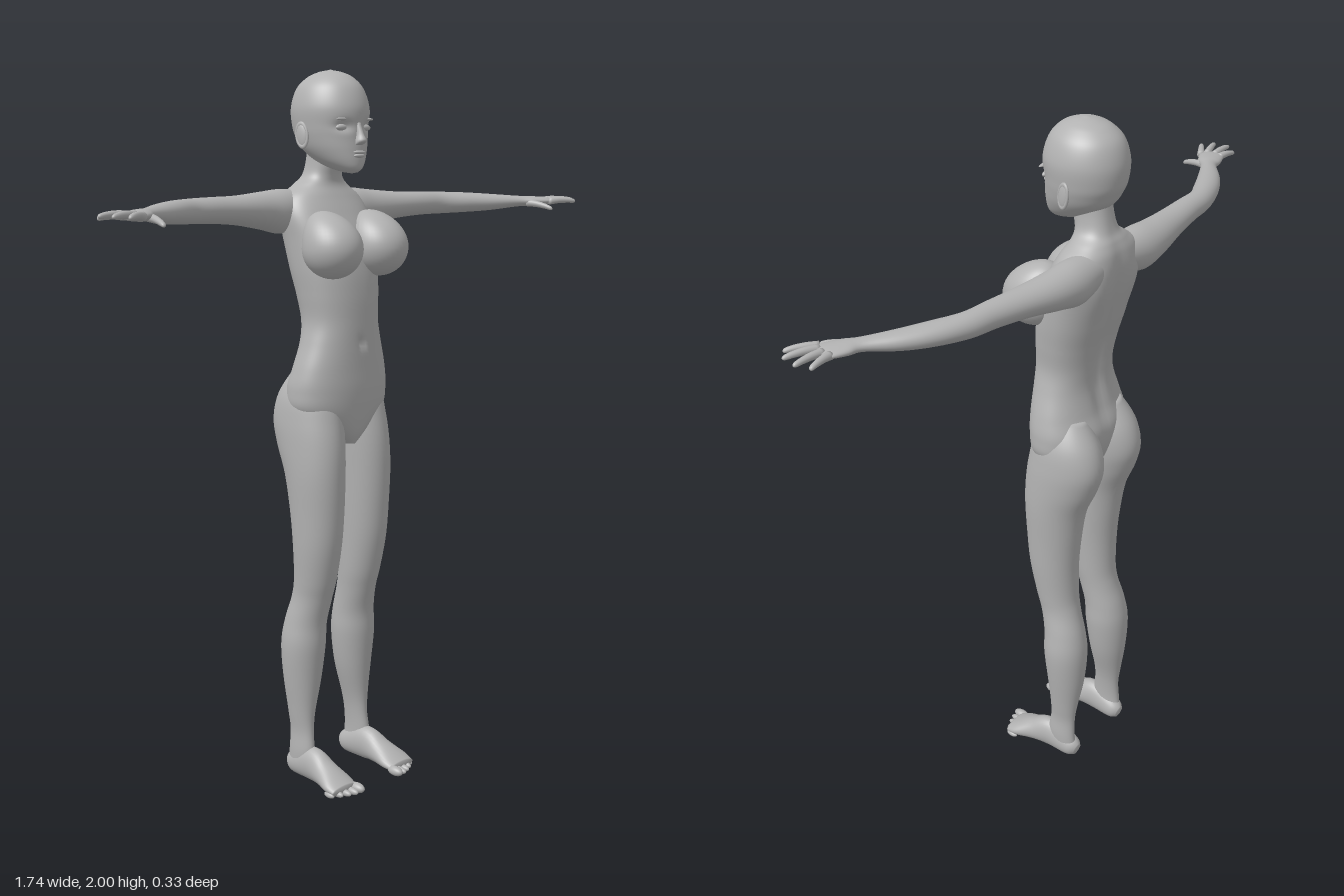
import * as THREE from 'three';

const X = new THREE.Vector3(1, 0, 0), Y = new THREE.Vector3(0, 1, 0), Z = new THREE.Vector3(0, 0, 1);
const bump = (d, w) => Math.exp(-(d * d) / (w * w));

// Catmull-Rom interpolation of one column of a section table
function spline(rows, i, t, k) {
  const at = j => rows[Math.min(Math.max(j, 0), rows.length - 1)][k];
  const a = at(i - 1), b = at(i), c = at(i + 1), d = at(i + 2);
  return b + 0.5 * t * (c - a + t * (2 * a - 5 * b + 4 * c - d + t * (3 * (b - c) + d - a)));
}

// Smooth closed skin through sections [x, y, z, radius along axis, radius across]
function loft(rows, axis, { sides = 32, steps = 5, power = 1, warp } = {}) {
  const secs = [];
  for (let i = 0; i < rows.length - 1; i++)
    for (let s = 0; s < steps; s++) secs.push([0, 1, 2, 3, 4].map(k => spline(rows, i, s / steps, k)));
  secs.push(rows[rows.length - 1]);
  const centres = secs.map(s => new THREE.Vector3(s[0], s[1], s[2]));
  const last = secs.length - 1, pos = [], index = [];
  const round = v => Math.sign(v) * Math.abs(v) ** power;
  const p = new THREE.Vector3();
  secs.forEach((s, i) => {
    const dir = centres[Math.min(i + 1, last)].clone().sub(centres[Math.max(i - 1, 0)]);
    const across = dir.cross(axis).normalize();
    for (let j = 0; j < sides; j++) {
      const a = j / sides * Math.PI * 2;
      p.copy(centres[i]).addScaledVector(axis, round(Math.cos(a)) * s[3])
        .addScaledVector(across, round(Math.sin(a)) * s[4]);
      if (warp) warp(p);
      pos.push(p.x, p.y, p.z);
    }
  });
  for (let i = 0; i < last; i++)
    for (let j = 0; j < sides; j++) {
      const k = (j + 1) % sides, a = i * sides + j, b = i * sides + k;
      index.push(a, b, a + sides, b, b + sides, a + sides);
    }
  // rounded end caps
  const foot = pos.length / 3, top = last * sides;
  for (const [end, prev] of [[0, 1], [last, last - 1]]) {
    const out = centres[end].clone().sub(centres[prev]).normalize();
    p.copy(centres[end]).addScaledVector(out, Math.min(secs[end][3], secs[end][4]) * 0.3);
    pos.push(p.x, p.y, p.z);
  }
  for (let j = 0; j < sides; j++) {
    const k = (j + 1) % sides;
    index.push(foot, k, j, foot + 1, top + j, top + k);
  }
  const g = new THREE.BufferGeometry();
  g.setAttribute('position', new THREE.Float32BufferAttribute(pos, 3));
  g.setIndex(index);
  g.computeVertexNormals();
  return g;
}

// Upright skin from rows [y, x inner, x outer, z front, z back]
const upright = (rows, options) => loft(
  rows.map(([y, x0, x1, zf, zb]) => [(x0 + x1) / 2, y, (zf + zb) / 2, (zf - zb) / 2, (x1 - x0) / 2]), Z, options);

const ellipsoid = (c, r) => new THREE.SphereGeometry(1, 28, 20).scale(...r).translate(...c);

function mirrored(geo) {
  const g = geo.clone().scale(-1, 1, 1), ix = g.index.array;
  for (let i = 0; i < ix.length; i += 3) [ix[i + 1], ix[i + 2]] = [ix[i + 2], ix[i + 1]];
  return g;
}

export function createModel() {
  const model = new THREE.Group();
  model.name = 'standingFigure';
  const grey = new THREE.MeshStandardMaterial({ color: 0xb2b2b2 });
  grey.name = 'plain grey';
  const add = (name, geo) => {
    const m = new THREE.Mesh(geo, grey);
    m.name = name;
    model.add(m);
  };
  const pair = (name, geo) => {
    add('left' + name, geo);
    add('right' + name, mirrored(geo));
  };

  // Torso and neck, with spine groove, shoulder blades and navel
  const torso = [
    [0.985, 0.02, 0.04, -0.06], [1.02, 0.07, 0.055, -0.1], [1.08, 0.15, 0.065, -0.125],
    [1.14, 0.161, 0.07, -0.13], [1.2, 0.15, 0.07, -0.112], [1.27, 0.128, 0.07, -0.1],
    [1.33, 0.116, 0.07, -0.105], [1.4, 0.123, 0.068, -0.12], [1.47, 0.132, 0.06, -0.14],
    [1.55, 0.138, 0.04, -0.158], [1.62, 0.143, 0.005, -0.166], [1.665, 0.125, -0.02, -0.163],
    [1.695, 0.085, -0.035, -0.153], [1.72, 0.055, -0.035, -0.14], [1.76, 0.046, -0.025, -0.13],
    [1.82, 0.046, -0.02, -0.12]];
  add('torso', upright(torso.map(([y, w, f, b]) => [y, -w, w, f, b]), {
    sides: 72, steps: 7, power: 0.9,
    warp: p => {
      if (p.z < -0.06) {
        p.z += 0.016 * bump(p.x, 0.022) * bump(p.y - 1.4, 0.22);
        p.z -= 0.008 * bump(Math.abs(p.x) - 0.075, 0.035) * bump(p.y - 1.58, 0.06);
      } else if (p.z > 0.03) p.z -= 0.012 * bump(p.x, 0.008) * bump(p.y - 1.27, 0.014);
    },
  }));

  // Bust
  const bust = new THREE.SphereGeometry(1, 40, 28);
  const bp = bust.attributes.position;
  for (let i = 0; i < bp.count; i++) {
    const y = bp.getY(i), up = Math.max(y, 0);
    bp.setXYZ(i, 0.088 + bp.getX(i) * 0.08, 1.528 + y * 0.08 + up * 0.02,
      0.045 + bp.getZ(i) * 0.086 - up * up * 0.035);
  }
  bust.computeVertexNormals();
  pair('Bust', bust);

  // Legs, including the seat
  pair('Leg', upright([
    [0.03, 0.085, 0.135, -0.02, -0.112], [0.08, 0.088, 0.138, -0.013, -0.105],
    [0.14, 0.085, 0.135, -0.02, -0.103], [0.2, 0.075, 0.142, -0.02, -0.11],
    [0.3, 0.05, 0.155, -0.01, -0.125], [0.4, 0.037, 0.163, 0, -0.13],
    [0.47, 0.037, 0.155, 0.003, -0.12], [0.54, 0.035, 0.145, 0.02, -0.1],
    [0.6, 0.03, 0.147, 0.037, -0.09], [0.7, 0.025, 0.155, 0.057, -0.09],
    [0.8, 0.02, 0.16, 0.066, -0.1], [0.9, 0.015, 0.166, 0.07, -0.118],
    [0.98, 0.008, 0.168, 0.068, -0.152], [1.05, 0.003, 0.166, 0.058, -0.17],
    [1.12, 0.006, 0.155, 0.04, -0.154], [1.19, 0.03, 0.12, 0, -0.108]], { sides: 44 }));

  // Feet and toes
  pair('Foot', loft([
    [0.107, 0.03, -0.114, 0.015, 0.02], [0.108, 0.036, -0.09, 0.029, 0.035],
    [0.11, 0.05, -0.015, 0.032, 0.05], [0.113, 0.038, 0.04, 0.039, 0.037],
    [0.117, 0.024, 0.09, 0.05, 0.024], [0.118, 0.016, 0.122, 0.046, 0.014]], X));
  for (let i = 0; i < 5; i++) {
    const r = i ? 0.0105 - i * 0.0005 : 0.014;
    pair('Toe' + (i + 1), ellipsoid([0.079 + i * 0.0205, r, 0.132 - i * i * 0.0018], [r, r, 0.027 - i * 0.002]));
  }

  // Arms running into the palms
  pair('Arm', loft([
    [0.05, 1.635, -0.115, 0.045, 0.045], [0.13, 1.625, -0.115, 0.06, 0.056],
    [0.2, 1.628, -0.113, 0.051, 0.053], [0.3, 1.632, -0.1, 0.039, 0.044],
    [0.4, 1.635, -0.088, 0.034, 0.037], [0.48, 1.635, -0.078, 0.032, 0.034],
    [0.56, 1.635, -0.045, 0.029, 0.036], [0.63, 1.635, -0.006, 0.024, 0.032],
    [0.7, 1.637, 0.042, 0.016, 0.023], [0.735, 1.637, 0.062, 0.015, 0.033],
    [0.77, 1.637, 0.08, 0.012, 0.036], [0.79, 1.637, 0.089, 0.008, 0.031]], Y));

  // Fingers, little finger first, then the thumb: base x, y, z, tip x, y, z
  [[0.782, 1.637, 0.06, 0.85, 1.632, 0.053], [0.785, 1.639, 0.08, 0.87, 1.638, 0.085],
    [0.777, 1.639, 0.1, 0.862, 1.638, 0.13], [0.765, 1.637, 0.113, 0.835, 1.636, 0.158],
    [0.715, 1.632, 0.07, 0.732, 1.615, 0.15]].forEach(([x, y, z, u, v, w], i) => {
    const at = (t, r) => [x + (u - x) * t, y + (v - y) * t + 0.004 * Math.sin(t * 3), z + (w - z) * t, r, r];
    pair(i < 4 ? 'Finger' + (i + 1) : 'Thumb',
      loft([at(0, 0.011), at(0.35, 0.0095), at(0.7, 0.008), at(0.94, 0.006), at(1, 0.002)], Y, { sides: 12, steps: 3 }));
  });

  // Head with shallow eye sockets
  const head = [
    [1.729, 0.018, 0.045, 0.005], [1.74, 0.038, 0.056, -0.04], [1.76, 0.06, 0.059, -0.09],
    [1.79, 0.08, 0.058, -0.132], [1.82, 0.091, 0.056, -0.152], [1.85, 0.097, 0.057, -0.164],
    [1.9, 0.1, 0.059, -0.168], [1.95, 0.085, 0.042, -0.153], [1.98, 0.058, 0.013, -0.122],
    [1.994, 0.031, -0.02, -0.088], [1.999, 0.008, -0.045, -0.062]];
  add('head', upright(head.map(([y, w, f, b]) => [y, -w, w, f, b]), {
    sides: 72, steps: 7,
    warp: p => { if (p.z > 0) p.z -= 0.011 * bump(Math.abs(p.x) - 0.042, 0.022) * bump(p.y - 1.85, 0.014); },
  }));

  // Face
  pair('Eye', ellipsoid([0.043, 1.847, 0.034], [0.021, 0.009, 0.009]));
  pair('Brow', ellipsoid([0.045, 1.869, 0.041], [0.024, 0.004, 0.007]));
  add('nose', loft([[0, 1.802, 0.056, 0.008, 0.014], [0, 1.812, 0.062, 0.018, 0.014],
    [0, 1.83, 0.058, 0.014, 0.009], [0, 1.86, 0.052, 0.007, 0.007]], Z, { sides: 20 }));
  add('upperLip', ellipsoid([0, 1.782, 0.058], [0.022, 0.005, 0.008]));
  add('lowerLip', ellipsoid([0, 1.773, 0.057], [0.019, 0.006, 0.008]));

  // Ears: a flat shell with a raised rim
  const ear = g => g.rotateY(Math.PI / 2 - 0.25).rotateX(-0.15).translate(0.1, 1.827, -0.06);
  pair('EarShell', ear(new THREE.SphereGeometry(1, 20, 14).scale(0.017, 0.032, 0.006)));
  pair('EarRim', ear(new THREE.TorusGeometry(0.017, 0.004, 10, 32).scale(1, 1.75, 1)));

  return model;
}
